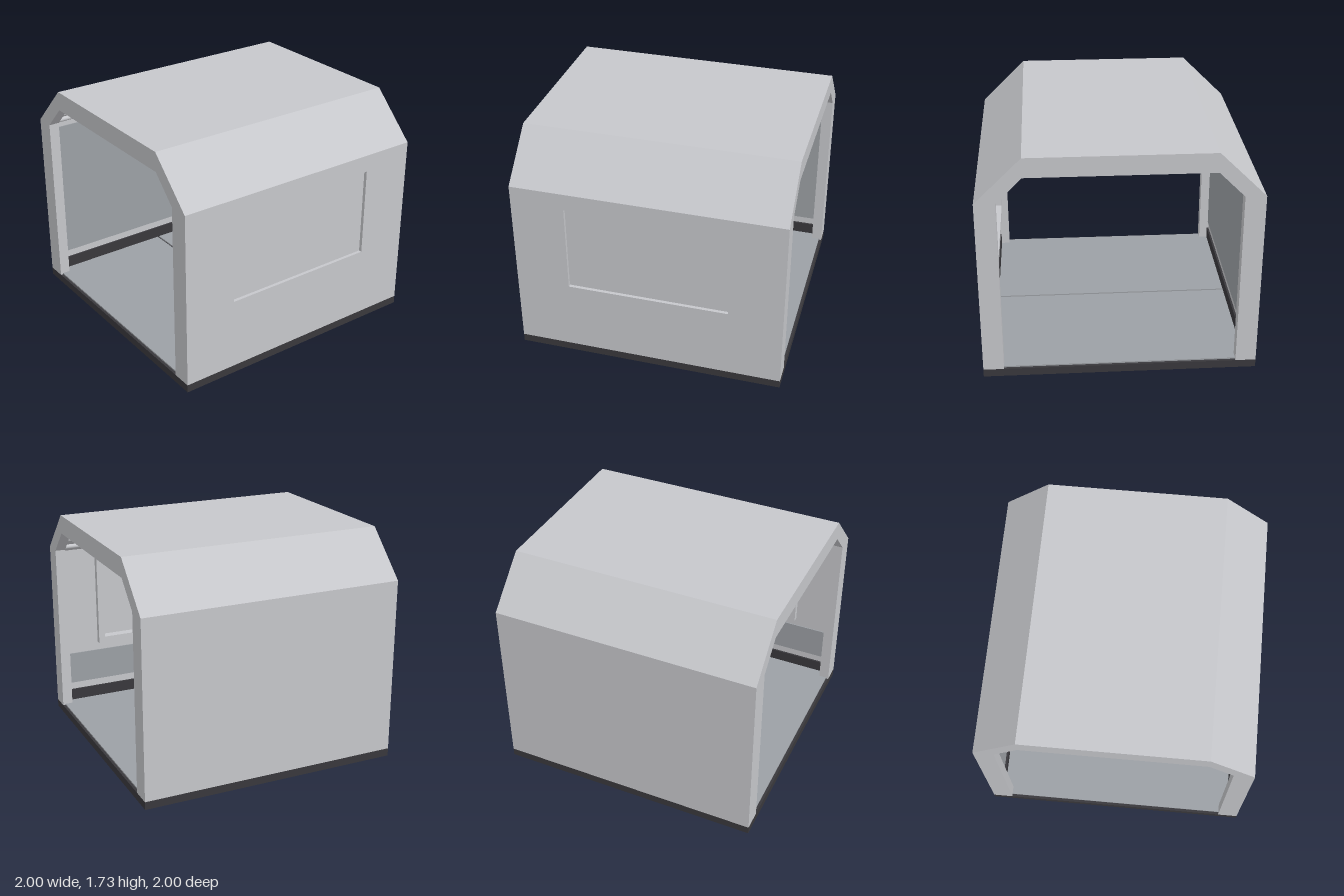
import * as THREE from 'three';

export function createModel() {
  const model = new THREE.Group();
  model.name = 'corridorModule';

  const mat = (name, color) => {
    const m = new THREE.MeshStandardMaterial({ color });
    m.name = name;
    return m;
  };
  const wallGrey = mat('wallGrey', 0xc6c7cb);
  const panelGrey = mat('panelGrey', 0x9ca0a5);
  const baseBlack = mat('baseBlack', 0x39383c);

  const add = (name, geometry, material) => {
    const mesh = new THREE.Mesh(geometry, material);
    mesh.name = name;
    model.add(mesh);
    return mesh;
  };
  // Box given by its lower and upper corners
  const box = (name, material, a, b) => {
    const mesh = add(name, new THREE.BoxGeometry(b[0] - a[0], b[1] - a[1], b[2] - a[2]), material);
    mesh.position.set((a[0] + b[0]) / 2, (a[1] + b[1]) / 2, (a[2] + b[2]) / 2);
    return mesh;
  };
  // Same box on the other side of x = 0
  const sideBox = (name, material, side, x0, x1, y0, y1, z) =>
    box(name, material, [Math.min(side * x0, side * x1), y0, -z], [Math.max(side * x0, side * x1), y1, z]);

  const polygon = (pts) => new THREE.Shape(pts.map(([x, y]) => new THREE.Vector2(x, y)));
  const rect = (w, y0, y1) => [[-w, y0], [w, y0], [w, y1], [-w, y1]];
  const extrude = (shape, depth) => new THREE.ExtrudeGeometry(shape, { depth, bevelEnabled: false });

  // Base slab and the two floor plates with a seam between them
  box('base', baseBlack, [-1, 0, -1], [1, 0.06, 1]);
  for (const s of [-1, 1]) {
    const z = [s * 0.008, s * 0.98].sort((a, b) => a - b);
    box('floorPlate', panelGrey, [-0.925, 0.06, z[0]], [0.925, 0.07, z[1]]);
  }

  // Arched end frames
  const outer = [[-1, 0.06], [-1, 1.4], [-0.665, 1.73], [0.665, 1.73], [1, 1.4]];
  const frameShape = polygon([
    ...outer, [1, 0.06],
    [0.85, 0.06], [0.85, 1.4], [0.665, 1.585], [-0.665, 1.585], [-0.85, 1.4], [-0.85, 0.06],
  ]);
  for (const z of [-1, 0.92]) add('endFrame', extrude(frameShape, 0.08), wallGrey).position.z = z;

  // Closed wall, roof and both slopes in one shell
  const shell = polygon([
    ...outer, [0.93, 1.37], [0.635, 1.66], [-0.635, 1.66], [-0.93, 1.37], [-0.93, 0.06],
  ]);
  add('shell', extrude(shell, 1.84), wallGrey).position.z = -0.92;

  // Wall with the window opening, pane and inner window frame
  const windowRect = rect(0.6, 0.6, 1.27);
  const sidePlate = (name, outline, depth, x) => {
    const shape = polygon(outline);
    shape.holes.push(polygon(windowRect));
    const mesh = add(name, extrude(shape, depth), wallGrey);
    mesh.rotation.y = Math.PI / 2;
    mesh.position.x = x;
  };
  sidePlate('windowWall', rect(0.92, 0.06, 1.4), 0.07, 0.93);
  sidePlate('windowFrame', rect(0.65, 0.55, 1.32), 0.045, 0.885);
  box('windowPane', wallGrey, [0.96, 0.59, -0.61], [0.975, 1.28, 0.61]);

  // Lining panels
  sideBox('tallWallPanel', panelGrey, -1, 0.922, 0.935, 0.22, 1.33, 0.92);
  sideBox('lowWallPanel', panelGrey, 1, 0.922, 0.935, 0.22, 0.48, 0.92);
  box('ceilingPanel', panelGrey, [-0.56, 1.652, -0.88], [0.56, 1.665, 0.88]);

  // Skirtings and pipes along the slopes
  for (const s of [-1, 1]) {
    sideBox('skirting', baseBlack, s, 0.915, 0.935, 0.06, 0.16, 0.92);
    for (const t of [0.22, 0.5]) {
      const pipe = add('pipe', new THREE.CylinderGeometry(0.018, 0.018, 1.84, 16), wallGrey);
      pipe.rotation.x = Math.PI / 2;
      pipe.position.set(s * (0.93 - 0.295 * t - 0.012), 1.37 + 0.29 * t - 0.012, 0);
    }
  }
  return model;
}
